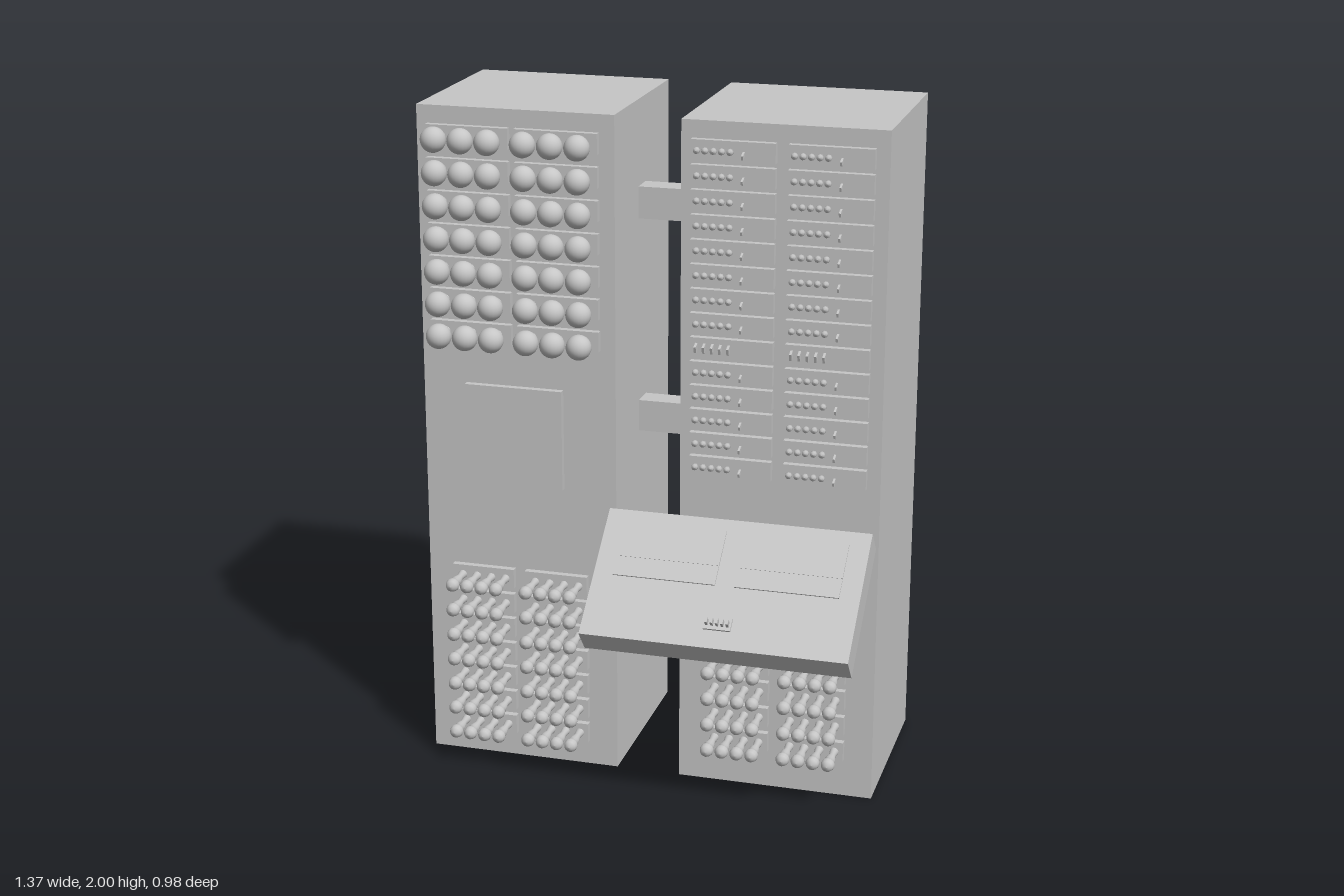
import * as THREE from 'three';

const FACE = 0.075;   // front plane of the cabinets
const PLATE = 0.095;  // front plane of the mounted panels

export function createModel() {
  const model = new THREE.Group();
  model.name = 'computerCabinets';
  const grey = new THREE.MeshStandardMaterial({ color: 0xc6c6c6 });
  grey.name = 'light grey';

  const add = (name, geo, x, y, z, parent = model) => {
    const m = new THREE.Mesh(geo, grey);
    m.name = name;
    m.position.set(x, y, z);
    parent.add(m);
    return m;
  };
  // box given by its limits on each axis
  const block = (name, x0, x1, y0, y1, z0, z1, parent = model) =>
    add(name, new THREE.BoxGeometry(x1 - x0, y1 - y0, z1 - z0),
      (x0 + x1) / 2, (y0 + y1) / 2, (z0 + z1) / 2, parent);
  const panel = (name, x0, x1, y, h = 0.06) =>
    block(name, x0, x1, y - h / 2, y + h / 2, FACE, PLATE);
  // turned part whose axis points forward; profile is [radius, depth]
  const turned = (profile, sides) => new THREE.LatheGeometry(
    profile.map(([r, d]) => new THREE.Vector2(r, d)), sides).rotateX(Math.PI / 2);

  // Cabinets and the two bars that join them
  block('rightCabinet', -0.685, -0.098, 0, 2, -0.49, FACE);
  block('leftCabinet', 0.095, 0.683, 0, 2, -0.49, FACE);
  for (const y of [1.0, 1.65]) block('connectingBar', -0.098, 0.095, y, y + 0.095, -0.24, -0.165);

  // Large round lamps in seven rows
  const bulb = new THREE.SphereGeometry(0.037, 20, 14);
  const bulbStem = turned([[0.014, 0], [0.008, 0.012], [0.008, 0.04]], 10);
  for (let row = 0; row < 7; row++) {
    const y = 1.918 - row * 0.0958;
    for (const x0 of [-0.653, -0.389]) {
      panel('lampPanel', x0, x0 + 0.246, y);
      for (let i = 0; i < 3; i++) {
        const x = x0 + 0.047 + i * 0.0795;
        add('lampStem', bulbStem, x, y, PLATE);
        add('lamp', bulb, x, y, 0.156);
      }
    }
  }

  // Long plugs with rounded heads
  const plug = turned([[0.013, 0], [0.01, 0.03], [0.016, 0.065], [0.013, 0.073],
    [0.019, 0.082], [0.0205, 0.092], [0.017, 0.103], [0.009, 0.109], [0, 0.111]], 14);
  const plugBank = (columns, top, step, rows) => {
    for (let row = 0; row < rows; row++) {
      const y = top - row * step;
      for (const x0 of columns) {
        panel('plugPanel', x0, x0 + 0.193, y);
        for (let i = 0; i < 4; i++) add('plug', plug, x0 + 0.032 + i * 0.045, y, PLATE);
      }
    }
  };
  plugBank([-0.606, -0.378], 0.585, 0.0795, 7);
  plugBank([0.177, 0.406], 0.394, 0.082, 4);

  // Two-part access plate
  block('upperAccessPlate', -0.553, -0.257, 1.044, 1.185, FACE, PLATE);
  block('lowerAccessPlate', -0.553, -0.257, 0.882, 1.044, FACE, PLATE - 0.001);

  // Fourteen rows of control strips
  const knob = turned([[0.006, 0], [0.006, 0.008], [0.01, 0.01], [0.009, 0.017], [0, 0.02]], 10);
  const lever = new THREE.BoxGeometry(0.006, 0.012, 0.024).rotateX(0.35);
  const tall = new THREE.BoxGeometry(0.007, 0.02, 0.022).rotateX(0.35);
  for (let row = 0; row < 14; row++) {
    const y = 1.921 - row * 0.0709;
    for (const x0 of [0.127, 0.403]) {
      panel('controlStrip', x0, x0 + 0.241, y, 0.057);
      for (let i = 0; i < 5; i++) {
        const x = x0 + 0.02 + i * 0.0237;
        if (row === 8) add('switch', tall, x, y, PLATE + 0.008);
        else add('knob', knob, x, y, PLATE);
      }
      if (row !== 8) add('toggle', lever, x0 + 0.151, y - 0.009, PLATE + 0.008);
    }
  }

  // Tilted console: local y is the desk normal, local z runs down the slope
  const desk = new THREE.Group();
  desk.name = 'console';
  desk.position.set(0, 0.874, 0.175);
  desk.rotation.x = 0.702;
  model.add(desk);
  block('consoleBody', -0.087, 0.683, -0.088, 0, 0, 0.409, desk);
  for (const x of [-0.03, 0.325]) {
    [[0.04, 0.11], [0.11, 0.153], [0.153, 0.214]].forEach(([a, b], i) =>
      block('keyPlate', x, x + 0.299, 0, 0.004 + (i % 2) * 0.001, a, b, desk));
  }
  block('switchPlate', 0.262, 0.341, 0, 0.006, 0.313, 0.353, desk);
  for (let i = 0; i < 5; i++)
    block('consoleSwitch', 0.268 + i * 0.015, 0.275 + i * 0.015, 0.004, 0.024, 0.326, 0.342, desk);

  // Sloping brackets that carry the console
  for (const x of [0.21, 0.56]) {
    const arm = add('consoleArm', new THREE.BoxGeometry(0.06, 0.038, 0.215), x, 0.637, 0.164);
    arm.rotation.x = -0.481;
  }
  return model;
}
